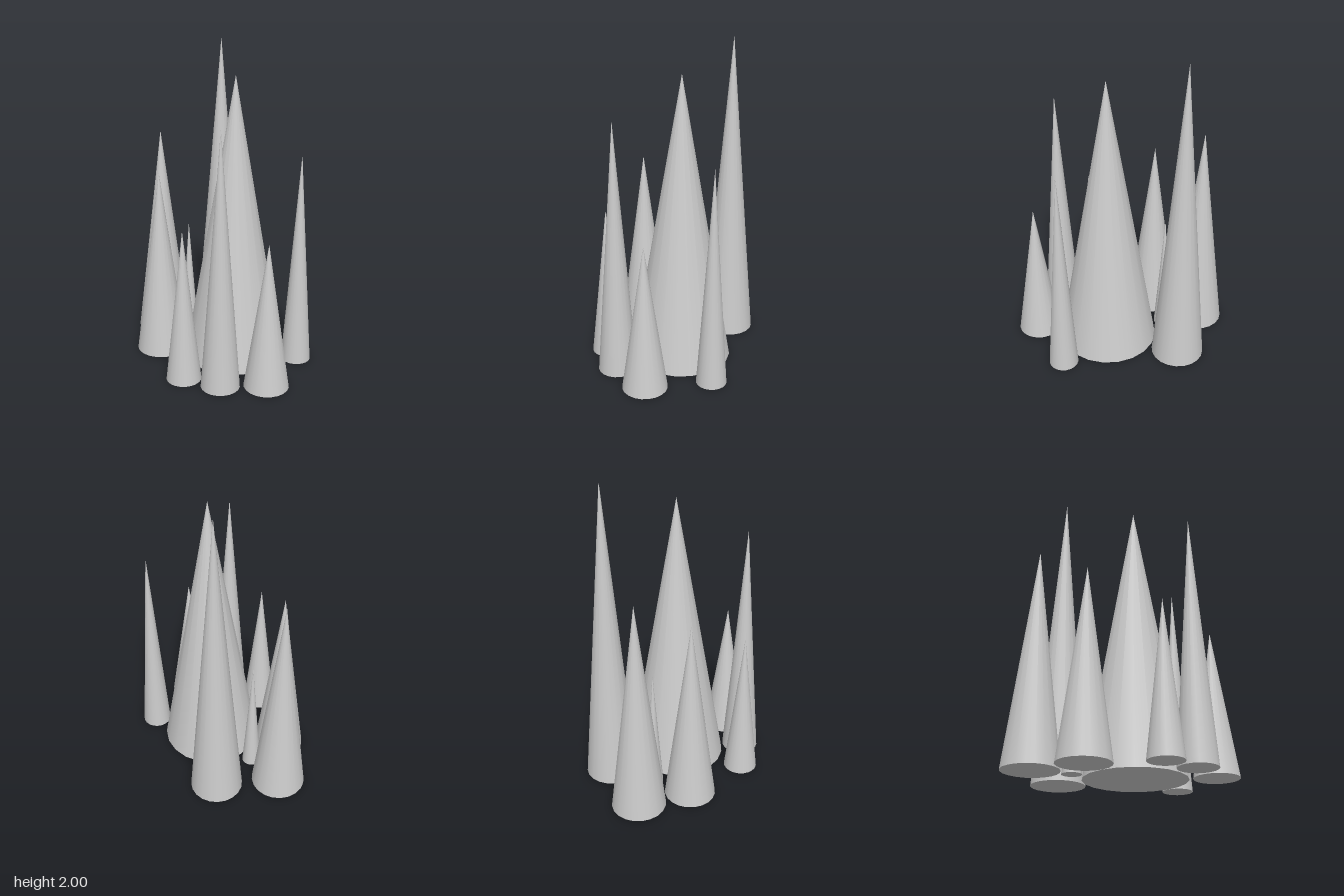
import * as THREE from 'three';

// Each spire: name, centre x, centre z, base radius, height
const SPIRES = [
  ['mainSpire', 0.11, -0.069, 0.317, 1.83],
  ['tallBackSpire', -0.296, -0.348, 0.168, 2.0],
  ['rightSpire', -0.525, -0.011, 0.173, 1.4],
  ['frontRightSpire', -0.271, 0.225, 0.163, 1.21],
  ['smallInnerSpire', -0.281, -0.034, 0.06, 0.81],
  ['frontSpire', 0.14, 0.402, 0.109, 0.97],
  ['frontLeftSpire', 0.361, 0.303, 0.121, 1.6],
  ['leftSpire', 0.555, 0.1, 0.139, 0.92],
  ['backLeftSpire', 0.453, -0.295, 0.094, 1.365],
];

export function createModel() {
  const model = new THREE.Group();
  model.name = 'spireCluster';
  const material = new THREE.MeshStandardMaterial({ color: 0xcccccc });

  // Smooth, closed cones standing on the ground
  for (const [name, x, z, radius, height] of SPIRES) {
    const spire = new THREE.Mesh(new THREE.ConeGeometry(radius, height, 20), material);
    spire.name = name;
    spire.position.set(x, height / 2, z);
    model.add(spire);
  }
  return model;
}
